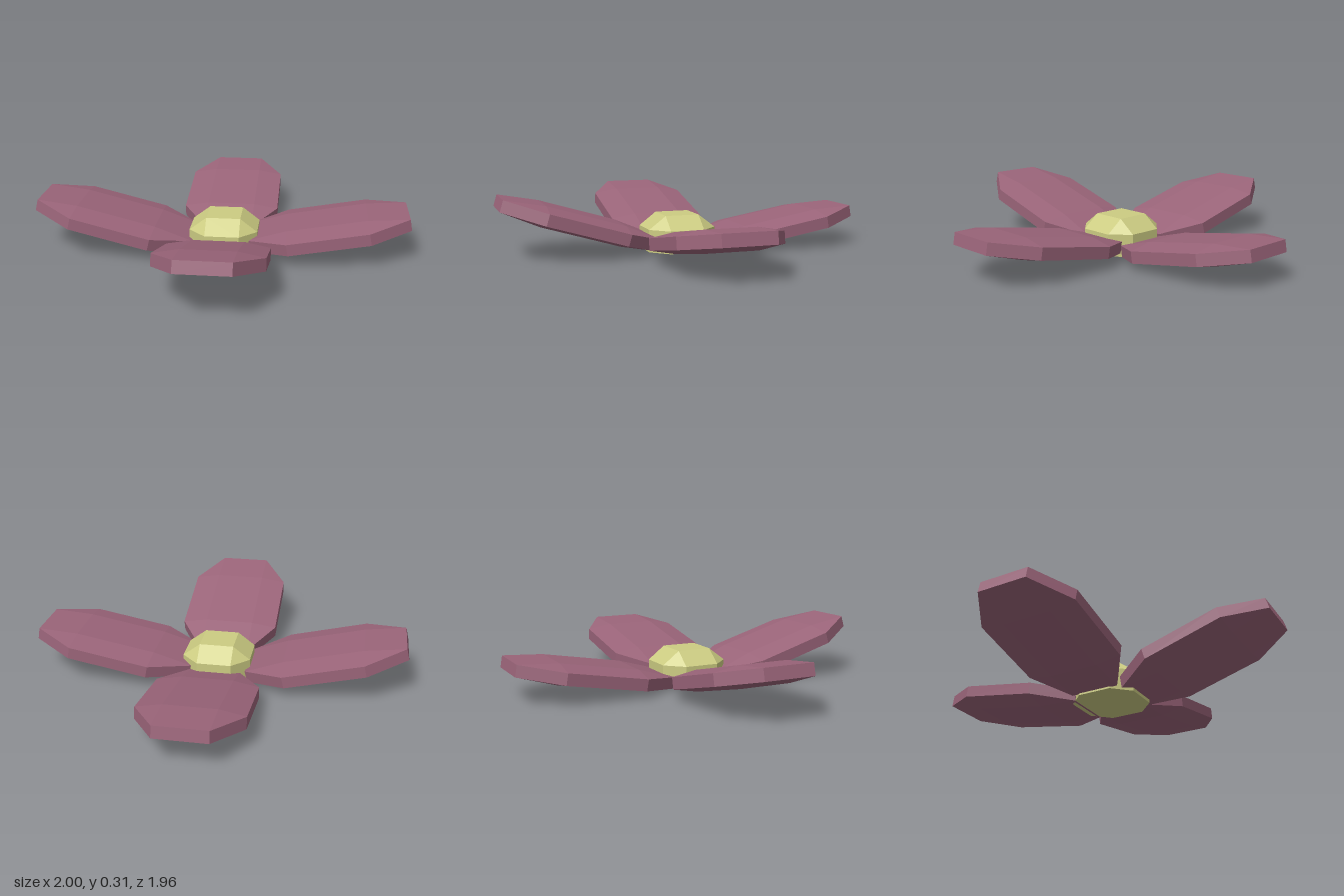
import * as THREE from 'three';

// Faceted octagonal slab: a raised inner rectangle inside an eight-sided rim.
// hx, hz: half sizes; levels: heights of top centre, top rim, bottom rim, bottom centre.
function octagonSlab(hx, hz, [topY, rimTopY, rimBottomY, bottomY]) {
  const rim = [[1, .5], [.5, 1], [-.5, 1], [-1, .5], [-1, -.5], [-.5, -1], [.5, -1], [1, -.5]];
  const inner = [[.5, .5], [-.5, .5], [-.5, -.5], [.5, -.5]];
  const ring = (points, y) => points.map(([u, v]) => [u * hx, y, -v * hz]);
  const pos = [];
  const face = (...p) => {
    for (let i = 1; i < p.length - 1; i++) pos.push(...p[0], ...p[i], ...p[i + 1]);
  };

  // top and bottom caps; the bottom reverses the corner order
  const cap = (centre, edge, flip) => {
    const add = (...p) => face(...(flip ? p.reverse() : p));
    add(...centre);
    for (let k = 0; k < 4; k++) {
      add(centre[k], edge[2 * k], edge[2 * k + 1]);
      add(centre[k], edge[2 * k + 1], edge[(2 * k + 2) % 8], centre[(k + 1) % 4]);
    }
  };
  const rimTop = ring(rim, rimTopY), rimBottom = ring(rim, rimBottomY);
  cap(ring(inner, topY), rimTop, false);
  cap(ring(inner, bottomY), rimBottom, true);

  // side wall
  for (let i = 0; i < 8; i++) {
    const j = (i + 1) % 8;
    face(rimBottom[i], rimBottom[j], rimTop[j], rimTop[i]);
  }
  const geometry = new THREE.BufferGeometry();
  geometry.setAttribute('position', new THREE.Float32BufferAttribute(pos, 3));
  geometry.computeVertexNormals();
  return geometry;
}

export function createModel() {
  const flower = new THREE.Group();
  flower.name = 'flower';
  const petalMaterial = new THREE.MeshStandardMaterial({ color: 0x9a6479, flatShading: true });
  const centreMaterial = new THREE.MeshStandardMaterial({ color: 0xcccc82, flatShading: true });

  // domed flower centre with a flat base
  const centre = new THREE.Mesh(octagonSlab(.182, .184, [.19, .12, 0, 0]), centreMaterial);
  centre.name = 'flowerCentre';
  centre.position.set(.01, 0, .013);
  flower.add(centre);

  // four petals, each raised at its own angle
  const petalGeometry = octagonSlab(.43, .268, [.055, .031, -.031, -.055]);
  const petals = [
    ['leftPetal', [.567, .128, .006], 0, 10.3],
    ['rightPetal', [-.575, .141, .012], 180, 13.7],
    ['frontPetal', [.01, .161, .553], -90, 16.5],
    ['backPetal', [.01, .103, -.552], 90, 9.8],
  ];
  for (const [name, position, yaw, tilt] of petals) {
    const petal = new THREE.Mesh(petalGeometry, petalMaterial);
    petal.name = name;
    petal.position.set(...position);
    petal.rotation.set(0, THREE.MathUtils.degToRad(yaw), THREE.MathUtils.degToRad(tilt), 'YZX');
    flower.add(petal);
  }
  return flower;
}
